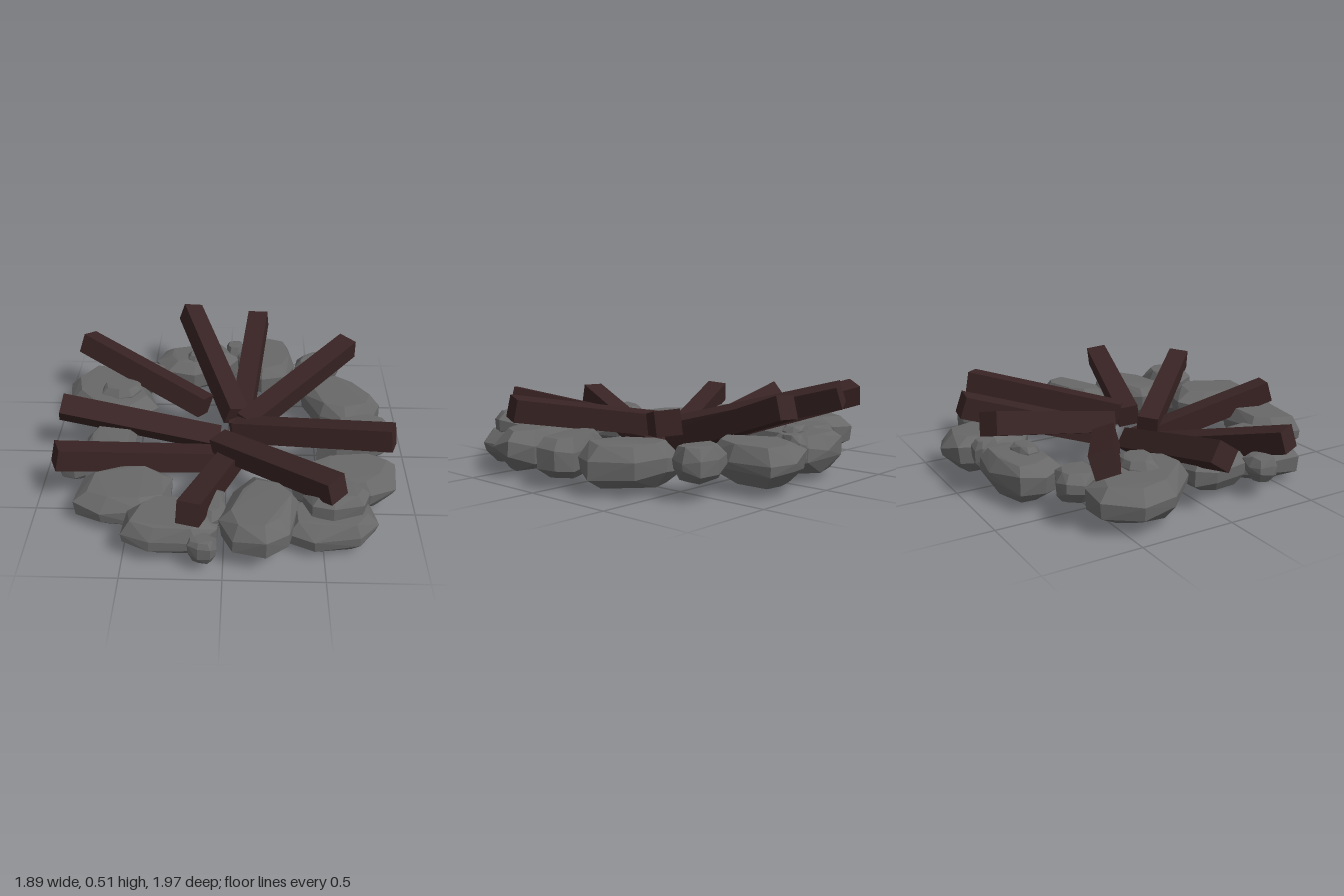
import * as THREE from 'three';
import { ConvexGeometry } from 'three/addons/geometries/ConvexGeometry.js';

const stone = new THREE.MeshStandardMaterial({ color: 0x686868 });
stone.name = 'grey stone';
const wood = new THREE.MeshStandardMaterial({ color: 0x382323 });
wood.name = 'charred wood';

// Small seeded random generator, so the stones are always the same
function seeded(seed) {
  let s = seed * 7919 + 17;
  return () => (s = (s * 16807) % 2147483647) / 2147483647;
}

// Chiselled stone: an uneven, boxy oval at four heights, wrapped in a convex hull
const SIDES = 8;
const boxy = (v) => Math.sign(v) * Math.abs(v) ** 0.75;
function rock(name, [cx, cz, rx, rz, turn, y0, y1], seed) {
  const rand = seeded(seed);
  const height = y1 - y0;
  const start = rand();
  const uneven = Array.from({ length: SIDES }, () => 0.95 + 0.12 * rand());
  const points = [];
  for (const [level, scale] of [[0, 0.64], [0.32, 0.98], [0.68, 1], [1, 0.73]]) {
    const middle = level > 0 && level < 1;
    for (let i = 0; i < SIDES; i++) {
      const angle = start + (i / SIDES) * Math.PI * 2;
      const k = scale * uneven[i] * (middle ? 1 - 0.06 * rand() : 0.86 + 0.26 * rand());
      const lift = middle ? 0.24 * (rand() - 0.5) : (level ? -0.07 : 0.07) * rand();
      const u = rx * k * boxy(Math.cos(angle)), v = rz * k * boxy(Math.sin(angle));
      points.push(new THREE.Vector3(
        cx + u * Math.cos(turn) - v * Math.sin(turn),
        y0 + height * (level + lift),
        cz + u * Math.sin(turn) + v * Math.cos(turn)));
    }
  }
  const mesh = new THREE.Mesh(new ConvexGeometry(points), stone);
  mesh.name = name;
  return mesh;
}

// Square beam from its inner end to its outer end, rolled about its length
function log(name, inner, outer, roll) {
  const a = new THREE.Vector3(...inner), b = new THREE.Vector3(...outer);
  const mesh = new THREE.Mesh(new THREE.BoxGeometry(0.118, 0.118, a.distanceTo(b)), wood);
  mesh.position.copy(a).add(b).multiplyScalar(0.5);
  mesh.lookAt(b);
  mesh.rotateZ(roll);
  mesh.name = name;
  return mesh;
}

// Large stones of the ring: centre x, z, half sizes, turn, bottom, top
const STONES = {
  backStone: [0.22, -0.75, 0.18, 0.25, 0, 0.05, 0.26],
  backLeaningStone: [-0.2, -0.73, 0.26, 0.16, -0.22, 0.04, 0.25],
  rightBackStone: [-0.69, -0.34, 0.32, 0.22, 0.9, 0.03, 0.25],
  rightStone: [-0.64, 0.14, 0.14, 0.18, 0, 0.05, 0.22],
  rightFrontStone: [-0.51, 0.51, 0.26, 0.21, 0.1, 0.01, 0.21],
  frontStone: [-0.25, 0.77, 0.25, 0.17, 0, 0.05, 0.24],
  frontTallStone: [0.18, 0.73, 0.18, 0.26, 0.2, 0.08, 0.28],
  leftFrontStone: [0.54, 0.69, 0.24, 0.16, -0.25, 0.02, 0.21],
  leftFlatStone: [0.63, 0.42, 0.29, 0.16, -0.15, 0.03, 0.26],
  leftStone: [0.71, 0.05, 0.24, 0.12, -0.35, 0.05, 0.27],
  leftBackStone: [0.65, -0.31, 0.25, 0.19, 0.9, 0.04, 0.26],
  leftBackSmallStone: [0.54, -0.65, 0.14, 0.11, -0.1, 0.09, 0.27],
};

// Pebbles wedged between and on top of the large stones
const PEBBLES = [
  [0.03, -0.82, 0.06, 0.07, 0, 0.1, 0.27],
  [-0.18, -0.69, 0.09, 0.06, -0.2, 0.17, 0.28],
  [-0.51, -0.58, 0.12, 0.1, 0.3, 0.08, 0.24],
  [-0.63, -0.3, 0.12, 0.1, 0.3, 0.18, 0.29],
  [-0.81, 0.32, 0.09, 0.08, 0, 0.1, 0.23],
  [-0.1, 0.92, 0.08, 0.06, 0.3, 0.07, 0.21],
  [-0.05, 0.7, 0.06, 0.13, 0, 0.13, 0.26],
  [0.55, 0.65, 0.17, 0.12, -0.2, 0.16, 0.31],
];

// Logs: inner end, outer end, roll
const LOGS = [
  [[0.05, 0.22, -0.08], [-0.255, 0.445, -0.91], 0.25],
  [[0.07, 0.14, -0.06], [0.175, 0.42, -0.885], -0.05],
  [[0.1, 0.24, 0.04], [0.715, 0.38, -0.625], 0.1],
  [[0.05, 0.23, 0.06], [0.875, 0.375, 0.315], -0.15],
  [[-0.04, 0.18, 0.13], [0.55, 0.37, 0.74], 0.1],
  [[0.05, 0.065, 0.06], [-0.165, 0.32, 0.88], 0],
  [[-0.06, 0.075, 0.13], [-0.88, 0.31, 0.435], 0.1],
  [[-0.05, 0.12, 0], [-0.925, 0.32, 0], -0.62],
  [[-0.13, 0.21, -0.19], [-0.87, 0.385, -0.62], 0.3],
];

export function createModel() {
  const model = new THREE.Group();
  model.name = 'campfire';

  const ring = new THREE.Group();
  ring.name = 'stoneRing';
  Object.entries(STONES).forEach(([name, shape], i) => ring.add(rock(name, shape, i + 1)));
  PEBBLES.forEach((shape, i) => ring.add(rock(`pebble${i + 1}`, shape, i + 40)));

  const logs = new THREE.Group();
  logs.name = 'logs';
  LOGS.forEach(([inner, outer, roll], i) => logs.add(log(`log${i + 1}`, inner, outer, roll)));

  model.add(ring, logs);
  return model;
}
